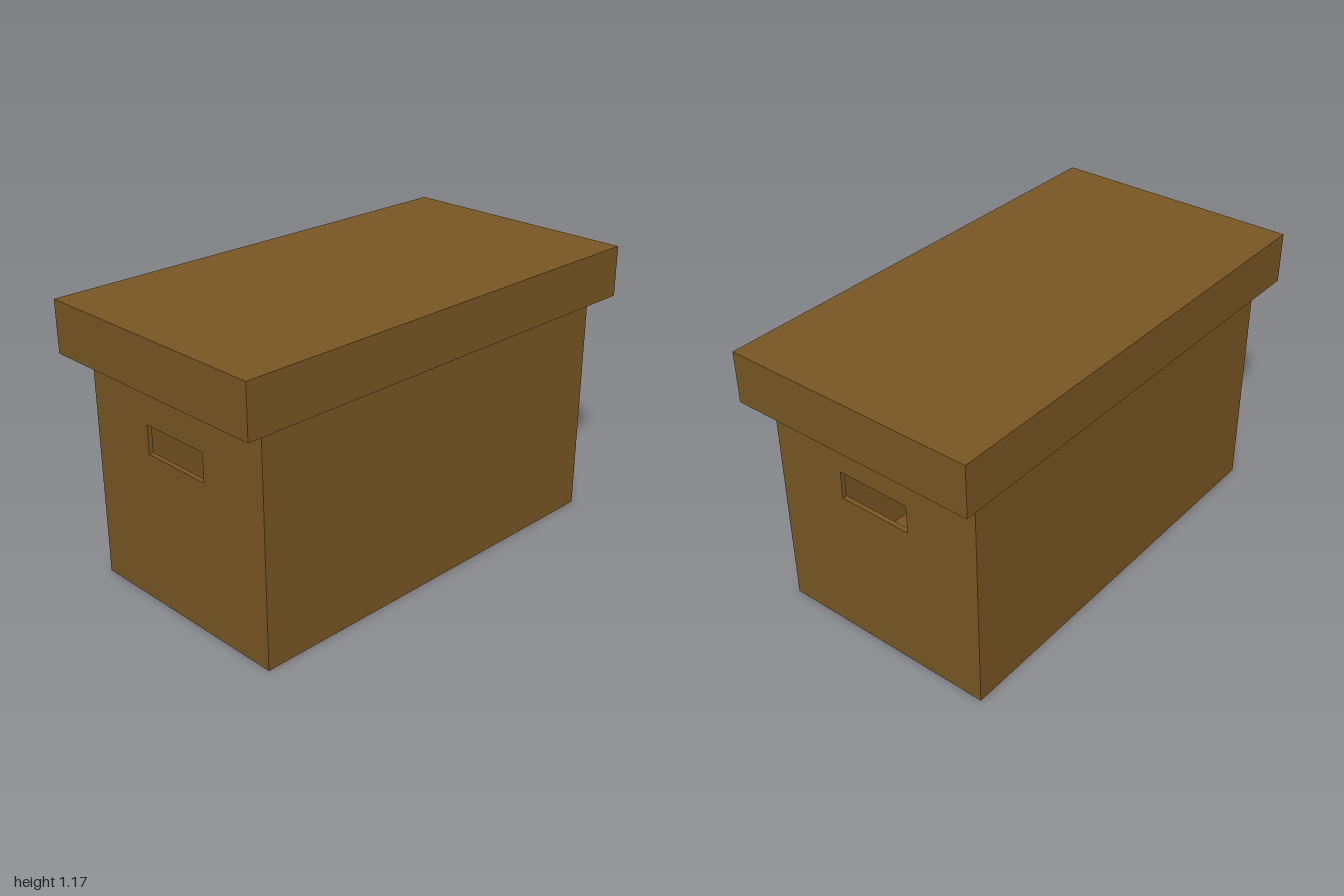
import * as THREE from 'three';

export function createModel() {
  const group = new THREE.Group();
  group.name = 'storageBox';
  const cardboard = new THREE.MeshStandardMaterial({ color: 0x7a5824 });
  cardboard.name = 'brown cardboard';

  const W = 0.895, D = 0.48, H = 0.956, TOP = 1.17, T = 0.02;

  function add(name, geometry, x, y, z) {
    const mesh = new THREE.Mesh(geometry, cardboard);
    mesh.name = name;
    mesh.position.set(x, y, z);
    group.add(mesh);
    return mesh;
  }

  // End wall outline with a rectangular hand hole
  const end = new THREE.Shape();
  end.moveTo(-D, 0).lineTo(D, 0).lineTo(D, H).lineTo(-D, H).closePath();
  const hole = new THREE.Path();
  hole.moveTo(-0.16, 0.635).lineTo(-0.16, 0.755).lineTo(0.16, 0.755).lineTo(0.16, 0.635).closePath();
  end.holes.push(hole);
  const endGeometry = new THREE.ExtrudeGeometry(end, { depth: T, bevelEnabled: false });
  endGeometry.rotateY(Math.PI / 2);
  add('leftEndWall', endGeometry, W - T, 0, 0);
  add('rightEndWall', endGeometry, -W, 0, 0);

  // Long walls and floor between the ends
  const inner = 2 * (W - T);
  const wall = new THREE.BoxGeometry(inner, H, T);
  add('frontWall', wall, 0, H / 2, D - T / 2);
  add('backWall', wall, 0, H / 2, -D + T / 2);
  add('floor', new THREE.BoxGeometry(inner, T, 2 * (D - T)), 0, T / 2, 0);

  // Overhanging lid
  add('lid', new THREE.BoxGeometry(2, TOP - H, 1.075), 0, (TOP + H) / 2, 0);

  return group;
}
